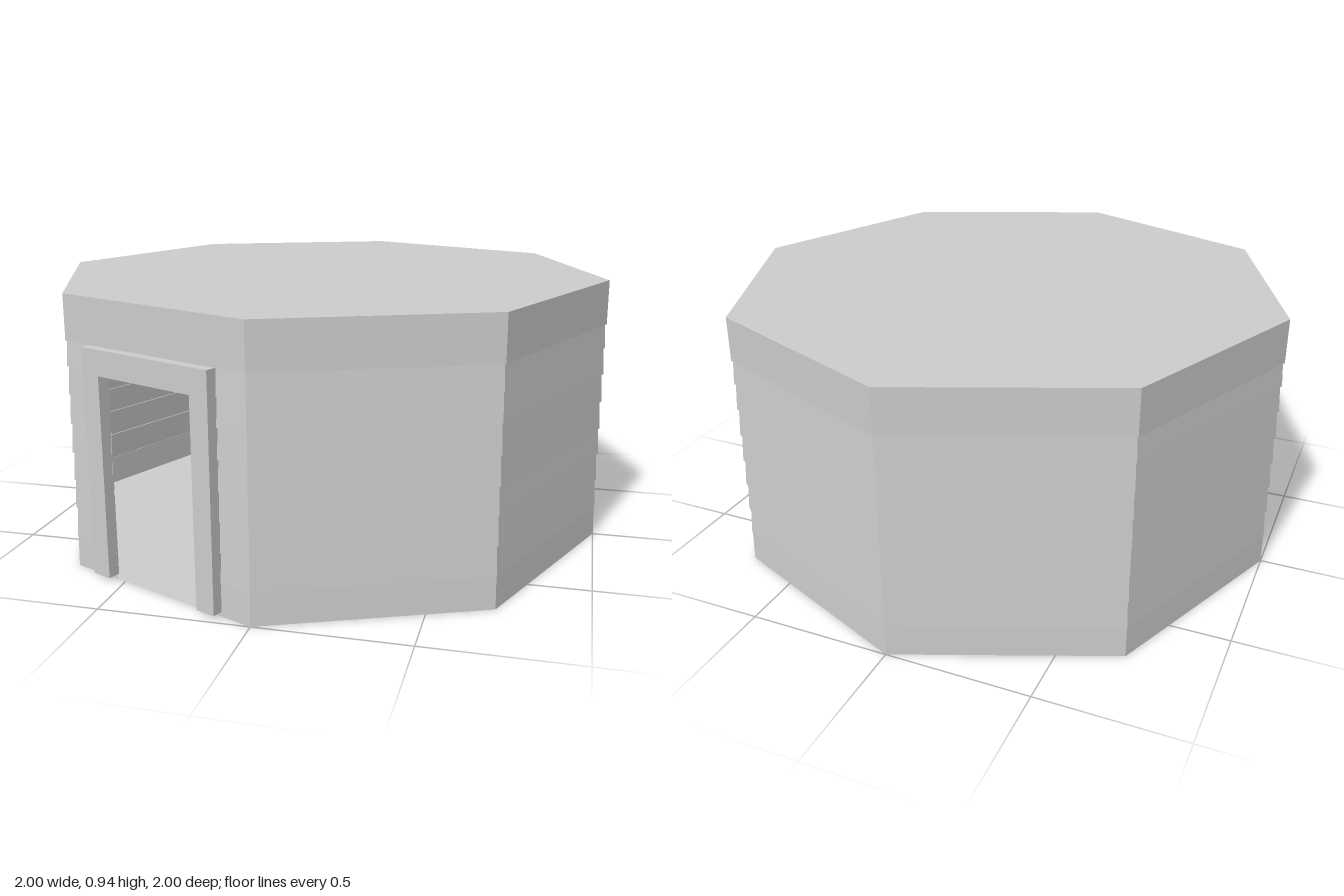
import * as THREE from 'three';

const SIDES = 8, DOOR_FACE = 7;
const APOTHEM = Math.cos(Math.PI / SIDES);
const EDGE = 2 * Math.sin(Math.PI / SIDES);
const DOOR_HALF = 0.195, DOOR_TOP = 0.70, WALL_TOP = 0.785, ROOF_TOP = 0.94;

const material = new THREE.MeshStandardMaterial({
  color: 0xcccccc, flatShading: true, side: THREE.DoubleSide,
});

// Point on the octagon outline: face k, fraction s along it
function outlinePoint(k, s, r, y) {
  const a = (k * 2 * Math.PI) / SIDES, b = ((k + 1) * 2 * Math.PI) / SIDES;
  return [
    r * THREE.MathUtils.lerp(Math.sin(a), Math.sin(b), s),
    y,
    r * THREE.MathUtils.lerp(Math.cos(a), Math.cos(b), s),
  ];
}

// Octagonal band from (r0, y0) up to (r1, y1), optionally cut by the doorway
function band(r0, y0, r1, y1, cut) {
  const positions = [];
  const half = DOOR_HALF / EDGE;
  for (let k = 0; k < SIDES; k++) {
    const spans = cut && k === DOOR_FACE ? [[0, 0.5 - half], [0.5 + half, 1]] : [[0, 1]];
    for (const [s, e] of spans) {
      const a = outlinePoint(k, s, r0, y0), b = outlinePoint(k, e, r0, y0);
      const c = outlinePoint(k, e, r1, y1), d = outlinePoint(k, s, r1, y1);
      positions.push(...a, ...b, ...c, ...a, ...c, ...d);
    }
  }
  const geometry = new THREE.BufferGeometry();
  geometry.setAttribute('position', new THREE.Float32BufferAttribute(positions, 3));
  geometry.computeVertexNormals();
  return geometry;
}

export function createModel() {
  const group = new THREE.Group();
  const add = (name, geometry, parent = group) => {
    const mesh = new THREE.Mesh(geometry, material);
    mesh.name = name;
    parent.add(mesh);
    return mesh;
  };

  // Overlapping wall boards, each leaning in towards its top
  const walls = new THREE.Group();
  walls.name = 'walls';
  group.add(walls);
  const levels = [0, 0.11, 0.21, 0.31, 0.405, 0.505, 0.605, DOOR_TOP, WALL_TOP];
  for (let i = 0; i < levels.length - 1; i++) {
    const y0 = levels[i], y1 = levels[i + 1];
    const top = i === 0 ? 0.998 : 0.994;
    add('wallBoard', band(1, y0, top, y1, y1 <= DOOR_TOP), walls);
    add('boardOverhang', band(top, y1, 1, y1, y1 < DOOR_TOP), walls);
  }

  // Plain band under the flat roof
  add('roofBand', band(1, WALL_TOP, 1, ROOF_TOP, false));

  // Roof and floor
  const roof = add('roof', new THREE.CircleGeometry(1, SIDES));
  roof.rotation.x = -Math.PI / 2;
  roof.position.y = ROOF_TOP;
  const floor = add('floor', new THREE.CircleGeometry(1, SIDES));
  floor.rotation.x = Math.PI / 2;

  // Door frame: two posts and a lintel in one piece
  const outer = 0.267, foot = 0.015;
  const shape = new THREE.Shape([
    [-outer, foot], [-DOOR_HALF, foot], [-DOOR_HALF, DOOR_TOP], [DOOR_HALF, DOOR_TOP],
    [DOOR_HALF, foot], [outer, foot], [outer, WALL_TOP], [-outer, WALL_TOP],
  ].map(([x, y]) => new THREE.Vector2(x, y)));
  const frameGeometry = new THREE.ExtrudeGeometry(shape, { depth: 0.042, bevelEnabled: false });
  frameGeometry.translate(0, 0, APOTHEM - 0.007);
  const frame = add('doorFrame', frameGeometry);
  frame.rotation.y = -Math.PI / SIDES;

  return group;
}
